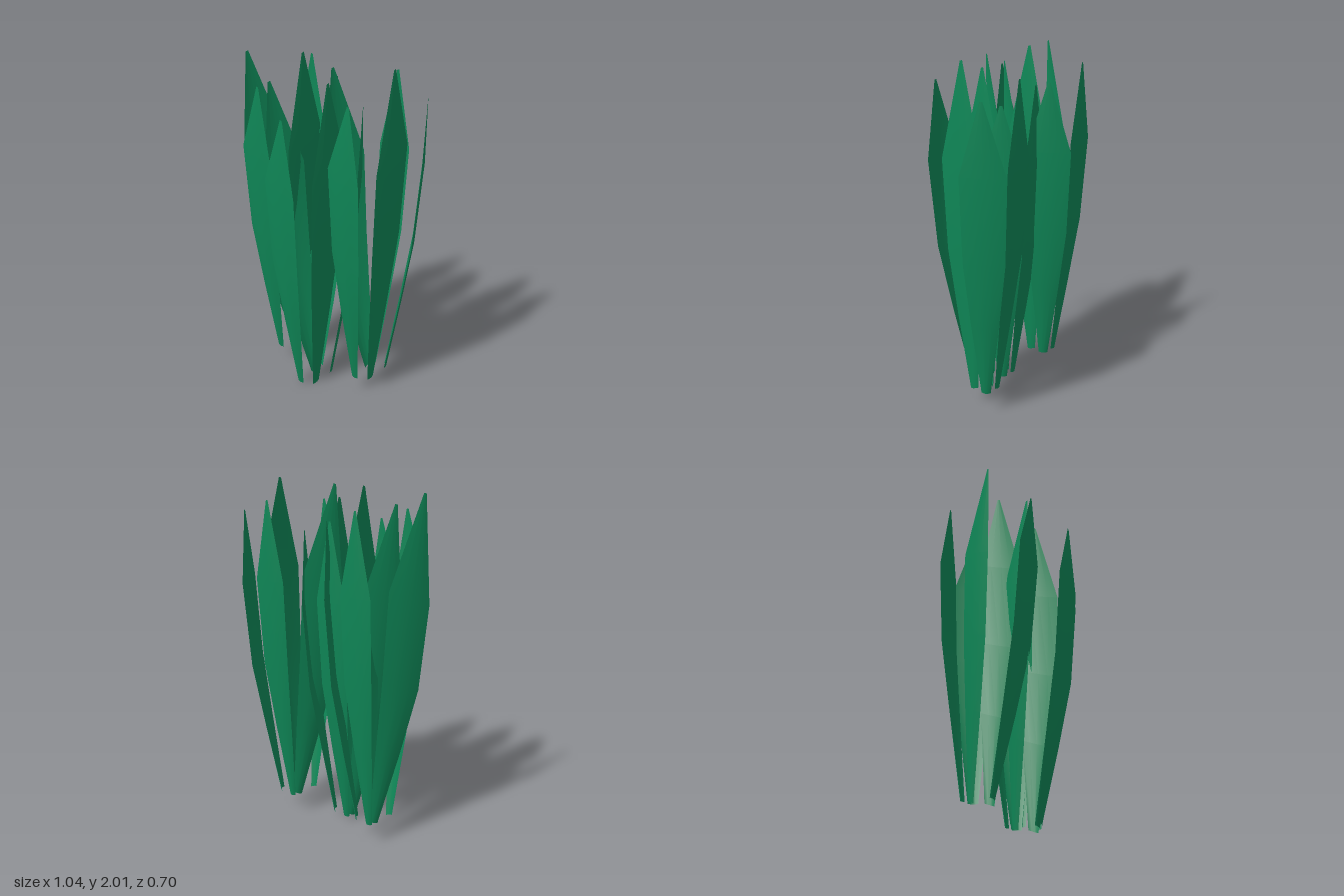
import * as THREE from 'three';

// Each leaf: base centre, the two shoulder corners (widest row) and the tip
const LEAVES = [
  { name: 'frontLeaf', base: [-0.335, 0.1, 0.02], a: [-0.405, 1.51, 0.207], b: [-0.208, 1.44, 0.222], tip: [-0.28, 1.86, 0.217] },
  { name: 'backLeaf', base: [-0.315, 0.12, -0.155], a: [-0.404, 1.49, -0.298], b: [-0.22, 1.49, -0.302], tip: [-0.31, 1.92, -0.302] },
  { name: 'backLeftLeaf', base: [-0.228, 0.125, -0.145], a: [-0.155, 1.46, -0.348], b: [-0.045, 1.46, -0.13], tip: [-0.09, 1.84, -0.24] },
  { name: 'rightLeaf', base: [-0.315, 0.11, -0.11], a: [-0.522, 1.4, 0.072], b: [-0.405, 1.5, -0.135], tip: [-0.49, 1.98, 0.045] },
  { name: 'leftLeaf', base: [-0.258, 0.1, -0.035], a: [-0.158, 1.58, -0.168], b: [-0.18, 1.48, 0.097], tip: [-0.18, 2.0, -0.045] },
];

// Rows from base to shoulder: height, outward lean and width as fractions
const ROWS = [[0, 0, 0.22], [0.34, 0.44, 0.62], [0.64, 0.8, 0.92], [1, 1, 1]];
const ACROSS = [-1, -0.5, 0, 0.5, 1];

function leafGeometry({ base, a, b, tip }) {
  const B = new THREE.Vector3(...base), T = new THREE.Vector3(...tip);
  const A = new THREE.Vector3(...a), C = new THREE.Vector3(...b);
  const mid = A.clone().add(C).multiplyScalar(0.5);
  const half = C.clone().sub(A).multiplyScalar(0.5);
  const out = new THREE.Vector3(-half.z, 0, half.x).normalize();
  if (out.dot(mid.clone().sub(B)) < 0) out.negate();

  const pos = [], idx = [], n = ACROSS.length;
  const addRow = (centre, width, bulge) => {
    for (const s of ACROSS) {
      const p = centre.clone().addScaledVector(half, s * width).addScaledVector(out, bulge * (1 - s * s));
      pos.push(p.x, p.y, p.z);
    }
  };
  for (const [rise, lean, width] of ROWS) {
    const c = new THREE.Vector3(
      THREE.MathUtils.lerp(B.x, mid.x, lean),
      THREE.MathUtils.lerp(B.y, mid.y, rise),
      THREE.MathUtils.lerp(B.z, mid.z, lean));
    addRow(c, width, 0.012);
  }
  addRow(T, 0.06, 0);

  for (let r = 0; r < ROWS.length; r++) {
    for (let i = 0; i < n - 1; i++) {
      const p = r * n + i;
      idx.push(p, p + 1, p + n, p + 1, p + n + 1, p + n);
    }
  }
  const g = new THREE.BufferGeometry();
  g.setAttribute('position', new THREE.Float32BufferAttribute(pos, 3));
  g.setIndex(idx);
  g.computeVertexNormals();
  return g;
}

export function createModel() {
  const model = new THREE.Group();
  model.name = 'leafyPlant';
  const green = new THREE.MeshStandardMaterial({ color: 0x0f8757, side: THREE.DoubleSide });
  green.name = 'leaf green';

  // Three identical clumps; the front one sits a little lower
  const geometries = LEAVES.map(leafGeometry);
  const clumps = { rightClump: [0, 0, 0], frontClump: [0.25, -0.095, 0.125], leftClump: [0.565, 0, 0] };
  for (const [name, offset] of Object.entries(clumps)) {
    const clump = new THREE.Group();
    clump.name = name;
    clump.position.set(...offset);
    geometries.forEach((g, i) => {
      const leaf = new THREE.Mesh(g, green);
      leaf.name = LEAVES[i].name;
      clump.add(leaf);
    });
    model.add(clump);
  }
  return model;
}
